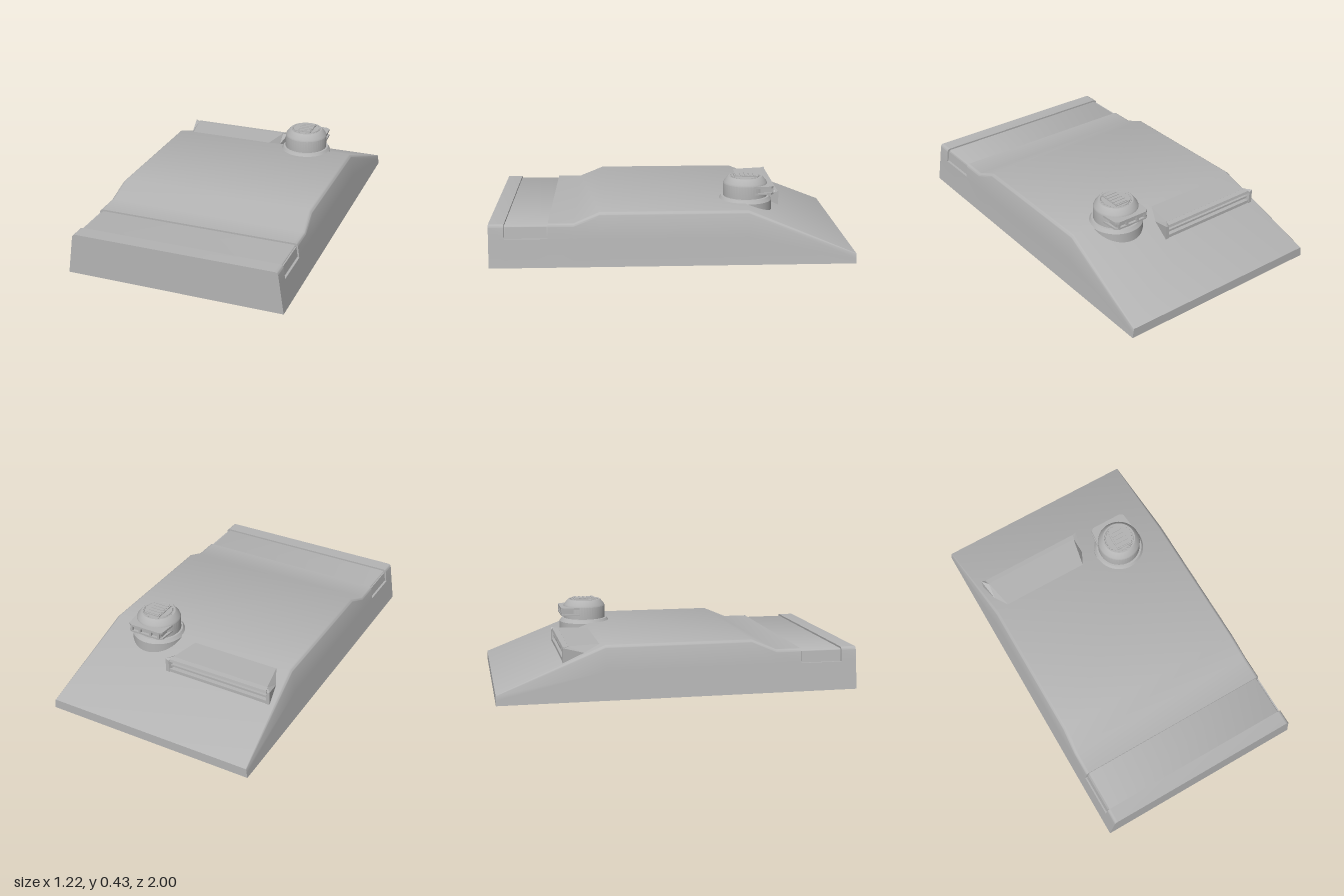
import * as THREE from 'three';
import { toCreasedNormals } from 'three/addons/utils/BufferGeometryUtils.js';
import { ConvexGeometry } from 'three/addons/geometries/ConvexGeometry.js';

const grey = new THREE.MeshStandardMaterial({ color: 0xb4b4b4 });
grey.name = 'plain grey';

function part(name, geometry, parent, x = 0, y = 0, z = 0) {
  const mesh = new THREE.Mesh(geometry, grey);
  mesh.name = name;
  mesh.position.set(x, y, z);
  parent.add(mesh);
  return mesh;
}

// One closed cross-section: sloped sides, optional side inset, rounded shoulders
function section([z, h, r, inset]) {
  const width = (y) => 0.61 - 0.15 * y;
  const y1 = h > 0.2 ? 0.155 : h * 0.5;
  const half = [[width(0), 0], [width(y1), y1], [width(y1) - inset, y1]];
  for (let i = 0; i <= 6; i++) {
    const a = 0.15 + (i / 6) * (Math.PI / 2 - 0.15);
    half.push([width(h - r) - inset + r * (Math.cos(a) - 1), h - r + r * Math.sin(a)]);
  }
  const mirrored = half.map(([x, y]) => [-x, y]).reverse();
  return [...half, ...mirrored].map(([x, y]) => [x, y, z]);
}

function hullGeometry(stations) {
  const rings = stations.map(section);
  const n = rings[0].length;
  const pos = [];
  const tri = (...corners) => {
    const [a, b, c] = corners.map((p) => new THREE.Vector3(...p));
    if (b.clone().sub(a).cross(c.clone().sub(a)).length() > 1e-9) pos.push(...corners.flat());
  };
  for (let s = 0; s < rings.length - 1; s++) {
    for (let i = 0; i < n; i++) {
      const j = (i + 1) % n;
      tri(rings[s][i], rings[s][j], rings[s + 1][j]);
      tri(rings[s][i], rings[s + 1][j], rings[s + 1][i]);
    }
  }
  // End caps, fanned from the middle so inset outlines stay clean
  const caps = [[rings[0], true], [rings[rings.length - 1], false]];
  for (const [ring, back] of caps) {
    const centre = [0, ring[1][1], ring[0][2]];
    for (let i = 0; i < n; i++) {
      const j = (i + 1) % n;
      if (back) tri(centre, ring[j], ring[i]);
      else tri(centre, ring[i], ring[j]);
    }
  }
  const geo = new THREE.BufferGeometry();
  geo.setAttribute('position', new THREE.Float32BufferAttribute(pos, 3));
  return toCreasedNormals(geo, 0.6);
}

function lathe(points, segments = 48) {
  const profile = points.map(([r, y]) => new THREE.Vector2(r, y));
  return toCreasedNormals(new THREE.LatheGeometry(profile, segments), 0.4);
}

const convex = (points) => new ConvexGeometry(points.map((p) => new THREE.Vector3(...p)));

export function createModel() {
  const model = new THREE.Group();
  model.name = 'slopedHull';

  // Hull stations from back to front: z, height, shoulder radius, side inset
  part('hull', hullGeometry([
    [-1, 0.055, 0.004, 0],
    [-0.41, 0.295, 0.028, 0],
    [0.4, 0.295, 0.028, 0],
    [0.54, 0.235, 0.02, 0],
    [0.68, 0.235, 0.02, 0],
    [0.68, 0.225, 0.012, 0.014],
    [0.915, 0.225, 0.012, 0.014],
    [0.915, 0.235, 0.02, 0],
    [1, 0.235, 0.02, 0],
  ]), model);

  // Flat panels standing in the side recesses
  for (const side of [1, -1]) {
    const panel = part('sidePanel', new THREE.BoxGeometry(0.008, 0.055, 0.222), model, side * 0.571, 0.191, 0.7975);
    panel.rotation.z = side * 0.15;
  }

  // Air vent hood on the rear slope
  const vent = new THREE.Group();
  vent.name = 'airVent';
  vent.position.x = -0.225;
  model.add(vent);
  const hood = [];
  for (const s of [-1, 1]) {
    hood.push([s * 0.255, 0.286, -0.43], [s * 0.29, 0.286, -0.605], [s * 0.295, 0.245, -0.48],
      [s * 0.305, 0.2, -0.6], [s * 0.305, 0.265, -0.61], [s * 0.305, 0.2, -0.61], [s * 0.25, 0.24, -0.44]);
  }
  part('ventHood', convex(hood), vent);
  part('ventTopLip', convex([-1, 1].flatMap((s) => [
    [s * 0.29, 0.286, -0.6], [s * 0.3, 0.283, -0.635], [s * 0.3, 0.268, -0.638], [s * 0.29, 0.262, -0.6],
  ])), vent);
  part('ventSlat', new THREE.BoxGeometry(0.59, 0.012, 0.022), vent, 0, 0.24, -0.617);
  part('ventBottomLip', new THREE.BoxGeometry(0.6, 0.02, 0.035), vent, 0, 0.211, -0.62);
  for (const s of [-1, 1]) {
    part('ventCheek', convex([
      [s * 0.288, 0.284, -0.6], [s * 0.322, 0.284, -0.64], [s * 0.304, 0.275, -0.64],
      [s * 0.322, 0.2, -0.64], [s * 0.298, 0.2, -0.64], [s * 0.295, 0.24, -0.49], [s * 0.28, 0.2, -0.6],
    ]), vent);
  }

  // Round cupola
  const cupola = new THREE.Group();
  cupola.name = 'cupola';
  cupola.position.set(0.275, 0, -0.42);
  model.add(cupola);
  part('cupolaSkirt', lathe([[0.15, 0.2], [0.15, 0.29], [0.136, 0.31], [0.12, 0.312]]), cupola);
  part('cupolaBody', lathe([[0.125, 0.3], [0.125, 0.382], [0.121, 0.392], [0.102, 0.416],
    [0.096, 0.421], [0.086, 0.421], [0.084, 0.416], [0.079, 0.416], [0.077, 0.423], [0, 0.423]]), cupola);

  // Small clamps around the hatch
  for (let i = 0; i < 24; i++) {
    const a = (i / 24) * Math.PI * 2;
    const clamp = part('hatchClamp', new THREE.BoxGeometry(0.006, 0.006, 0.008), cupola,
      Math.cos(a) * 0.0815, 0.418, Math.sin(a) * 0.0815);
    clamp.rotation.y = -a;
  }
  part('hatchPlate', new THREE.BoxGeometry(0.09, 0.006, 0.13), cupola, 0, 0.425, 0);
  for (let i = 0; i < 5; i++) {
    part('hatchSlat', new THREE.BoxGeometry(0.08, 0.004, 0.014), cupola, 0.003, 0.429, -0.05 + i * 0.025);
  }

  // Rear sight housing with chamfered corners and recessed openings
  const outline = new THREE.Shape();
  outline.moveTo(-0.118, 0.04);
  outline.lineTo(-0.11, 0.135);
  outline.lineTo(-0.09, 0.15);
  outline.lineTo(0.09, 0.15);
  outline.lineTo(0.11, 0.135);
  outline.lineTo(0.118, 0.04);
  const housing = (depth) => new THREE.ExtrudeGeometry(outline, { depth, bevelEnabled: false }).rotateX(-Math.PI / 2);
  part('sightRoof', housing(0.012), cupola, 0, 0.37, 0);
  part('sightFloor', housing(0.01), cupola, 0, 0.335, 0);
  part('sightCore', new THREE.BoxGeometry(0.2, 0.03, 0.09), cupola, 0, 0.357, -0.09);
  for (const x of [-0.088, -0.035, 0.035, 0.088]) {
    part('sightDivider', new THREE.BoxGeometry(0.014, 0.03, 0.02), cupola, x, 0.357, -0.139);
  }
  return model;
}
